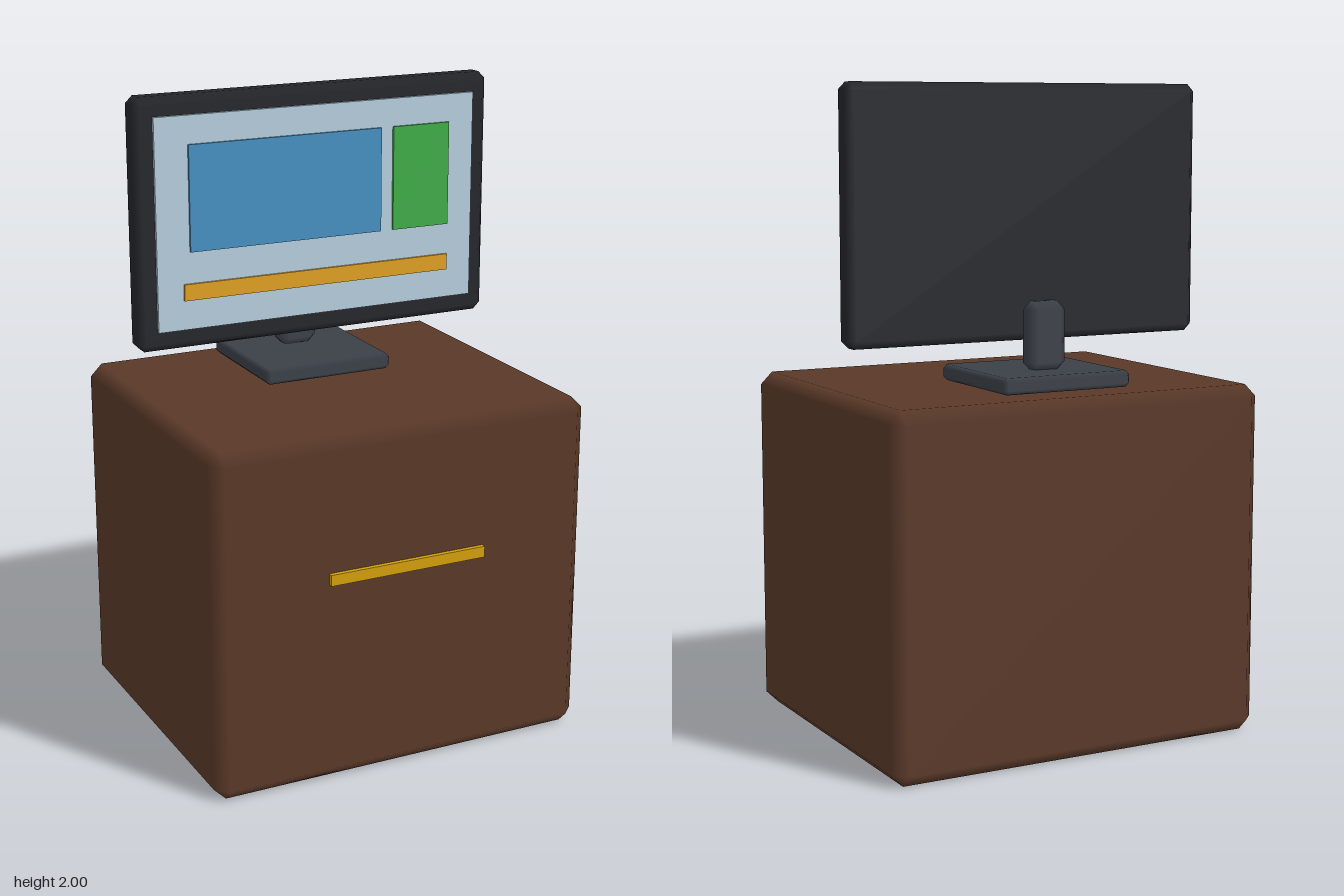
import * as THREE from 'three';
import { ConvexGeometry } from 'three/addons/geometries/ConvexGeometry.js';

// Box with one chamfer per edge; normals stay flat on the faces and blend over the chamfers.
function chamferBox(w, h, d, bevel) {
  const half = [w / 2, h / 2, d / 2];
  const points = [];
  for (const sx of [-1, 1]) for (const sy of [-1, 1]) for (const sz of [-1, 1]) {
    for (let axis = 0; axis < 3; axis++) {
      const p = [sx, sy, sz].map((s, i) => s * (half[i] - (i === axis ? 0 : bevel)));
      points.push(new THREE.Vector3(...p));
    }
  }
  const geometry = new ConvexGeometry(points);
  const position = geometry.attributes.position;
  const normal = geometry.attributes.normal;
  for (let i = 0; i < position.count; i++) {
    const n = [0, 1, 2].map((a) => {
      const v = position.getComponent(i, a);
      return Math.abs(v) > half[a] - bevel / 2 ? Math.sign(v) : 0;
    });
    normal.setXYZ(i, ...n);
  }
  return geometry;
}

export function createModel() {
  const model = new THREE.Group();

  // Adds a box given its extents on each axis; a bevel of 0 leaves sharp edges.
  function addBox(parent, name, color, [x0, x1], [y0, y1], [z0, z1], bevel = 0) {
    const size = [x1 - x0, y1 - y0, z1 - z0];
    const geometry = bevel ? chamferBox(...size, bevel) : new THREE.BoxGeometry(...size);
    const mesh = new THREE.Mesh(geometry, new THREE.MeshStandardMaterial({ color }));
    mesh.name = name;
    mesh.position.set((x0 + x1) / 2, (y0 + y1) / 2, (z0 + z1) / 2);
    parent.add(mesh);
  }

  function addGroup(name) {
    const group = new THREE.Group();
    group.name = name;
    model.add(group);
    return group;
  }

  // Cabinet with a slim front handle
  const cabinet = addGroup('cabinet');
  addBox(cabinet, 'cabinetBody', 0x5a3928, [-0.62, 0.62], [0, 1.09], [-0.526, 0.511], 0.038);
  addBox(cabinet, 'handle', 0xd4a00a, [-0.258, 0.258], [0.641, 0.676], [0.5, 0.526]);

  // Stand: flat plate and short stem behind the monitor
  const stand = addGroup('stand');
  addBox(stand, 'standBase', 0x3b4048, [-0.214, 0.214], [1.097, 1.147], [-0.422, -0.009], 0.012);
  addBox(stand, 'standStem', 0x3b4048, [-0.065, 0.065], [1.142, 1.354], [-0.306, -0.228], 0.027);

  // Monitor casing, screen and the raised panels on it
  const monitor = addGroup('monitor');
  addBox(monitor, 'monitorCase', 0x23252a, [-0.597, 0.597], [1.225, 2], [-0.179, -0.094], 0.022);
  addBox(monitor, 'screen', 0xb6cedf, [-0.538, 0.538], [1.288, 1.942], [-0.1, -0.084]);
  addBox(monitor, 'largePanel', 0x458fc2, [-0.432, 0.212], [1.529, 1.855], [-0.09, -0.076]);
  addBox(monitor, 'smallPanel', 0x3fad48, [0.254, 0.45], [1.529, 1.855], [-0.09, -0.076]);
  addBox(monitor, 'bottomBar', 0xe0a020, [-0.454, 0.45], [1.38, 1.431], [-0.09, -0.076]);

  return model;
}
